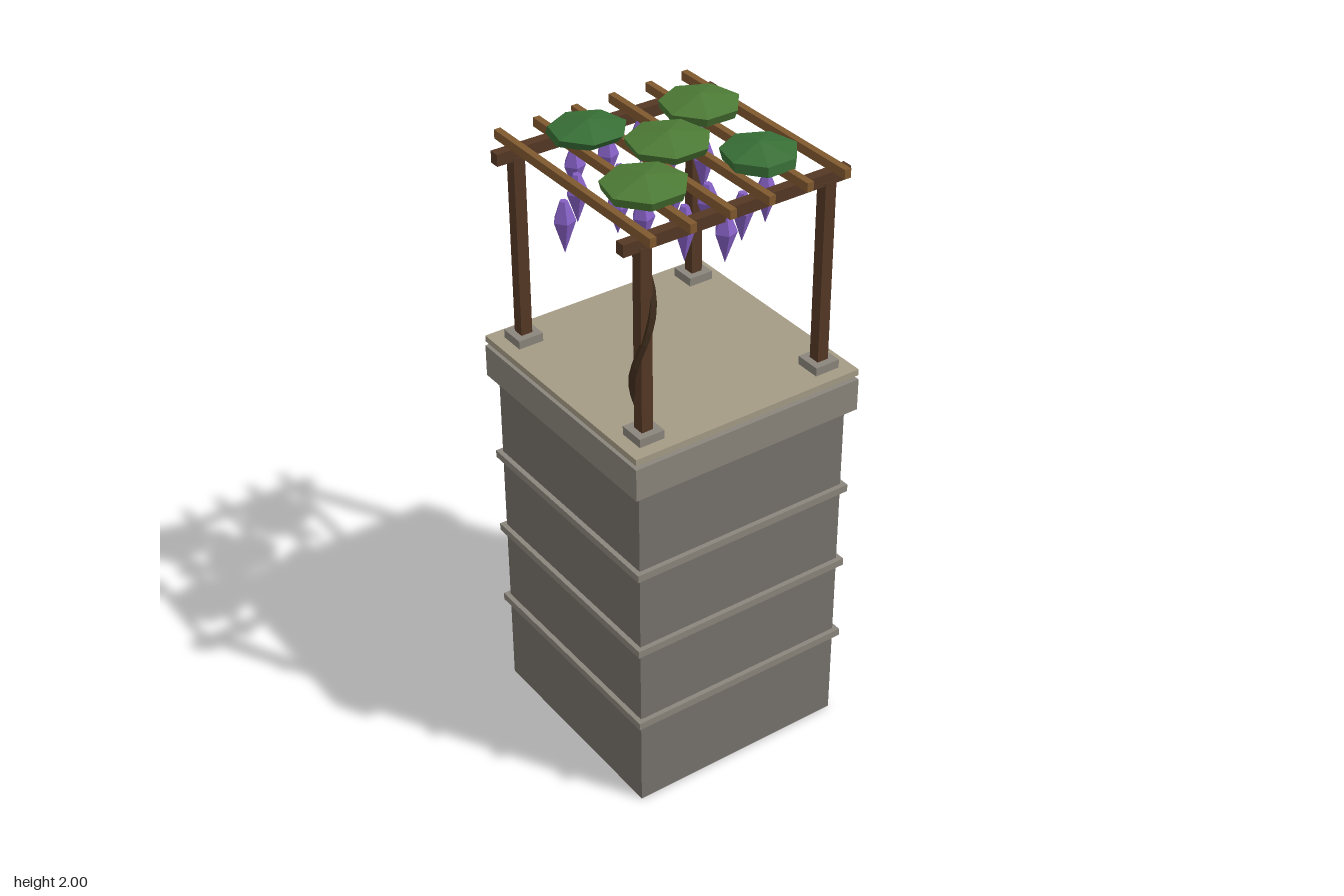
import * as THREE from 'three';

const mat = (color) => new THREE.MeshStandardMaterial({ color, flatShading: true });
const M = {
  wall: mat(0x76716a), trim: mat(0x8a857c), floor: mat(0xa59b86),
  post: mat(0x543824), rafter: mat(0x80592f), vine: mat(0x3f2c1c),
  leafLight: mat(0x4c7a35), leafDark: mat(0x386f36), flower: mat(0x8560c4),
};

export function createModel() {
  const model = new THREE.Group();
  const add = (name, geometry, material, x = 0, y = 0, z = 0, parent = model) => {
    const mesh = new THREE.Mesh(geometry, material);
    mesh.name = name;
    mesh.position.set(x, y, z);
    parent.add(mesh);
    return mesh;
  };
  // Box given by its bottom and top heights
  const box = (name, material, w, d, y0, y1, x = 0, z = 0) =>
    add(name, new THREE.BoxGeometry(w, y1 - y0, d), material, x, (y0 + y1) / 2, z);

  // Tower with ledges, cornice and a slightly raised roof terrace
  box('towerBody', M.wall, 0.726, 0.726, 0, 1.16);
  for (const y of [0.31, 0.588, 0.866]) box('ledge', M.trim, 0.757, 0.757, y - 0.012, y + 0.012);
  box('cornice', M.trim, 0.778, 0.778, 1.15, 1.254);
  box('terraceFloor', M.floor, 0.776, 0.776, 1.268, 1.288);

  // Pergola posts on stone feet
  for (const x of [-0.306, 0.306]) {
    for (const z of [-0.306, 0.306]) {
      box('postFoot', M.trim, 0.082, 0.082, 1.288, 1.315, x, z);
      box('post', M.post, 0.037, 0.037, 1.31, 1.89, x, z);
    }
  }
  // Cross beams and rafters
  for (const z of [-0.306, 0.306]) box('beam', M.post, 0.752, 0.032, 1.881, 1.918, 0, z);
  for (let i = 0; i < 6; i++) box('rafter', M.rafter, 0.021, 0.752, 1.919, 1.947, -0.32 + i * 0.128);

  // Vine stem winding up the front right post
  const stem = [];
  for (let i = 0; i <= 12; i++) {
    const y = 1.3 + i * 0.05;
    const a = Math.PI * 4 * (y - 1.5);
    stem.push(new THREE.Vector3(-0.307 - 0.025 * Math.cos(a), y, 0.306 + 0.025 * Math.sin(a - 0.3)));
  }
  add('vineStem', new THREE.TubeGeometry(new THREE.CatmullRomCurve3(stem), 16, 0.012, 5), M.vine);

  // Seven-sided leaf clumps; the lower ring is shifted for an irregular look
  const clumps = [
    [-0.14, -0.19, 0.113, 0, -0.024, M.leafDark],
    [0.205, -0.14, 0.119, 0.003, -0.008, M.leafLight],
    [0, -0.006, 0.123, 0.008, -0.014, M.leafLight],
    [-0.196, 0.162, 0.123, 0.004, -0.008, M.leafLight],
    [0.165, 0.187, 0.111, -0.002, 0.008, M.leafDark],
  ];
  for (const [x, z, r, dx, dz, material] of clumps) {
    const profile = [[0, -0.03], [r * 0.94, -0.022], [r, 0.008], [0, 0.033]];
    const geo = new THREE.LatheGeometry(profile.map(([a, b]) => new THREE.Vector2(a, b)), 7);
    geo.rotateY(Math.PI);
    const p = geo.attributes.position;
    for (let i = 0; i < p.count; i++) {
      if (p.getY(i) < 0) p.setXYZ(i, p.getX(i) + dx, p.getY(i), p.getZ(i) + dz);
    }
    add('leafClump', geo, material, x, 1.967, z);
  }

  // Hanging blossom clusters: x, z, top height, length
  const blossoms = [
    [0.09, -0.27, 1.9, 0.14], [-0.24, -0.1, 1.9, 0.15], [-0.337, -0.017, 1.885, 0.16],
    [-0.195, 0.03, 1.9, 0.14], [0.013, 0.157, 1.905, 0.14], [0.286, 0.06, 1.9, 0.14],
    [-0.04, 0.31, 1.9, 0.15], [-0.105, 0.215, 1.9, 0.17], [-0.055, -0.225, 1.91, 0.15],
    [0.105, -0.145, 1.9, 0.14], [-0.105, -0.09, 1.89, 0.165], [0.18, -0.09, 1.89, 0.17],
    [0.18, 0.2, 1.9, 0.15], [0.065, 0.245, 1.9, 0.15], [-0.17, 0.115, 1.9, 0.15],
    [-0.045, 0.07, 1.91, 0.16], [0.24, -0.2, 1.9, 0.14], [-0.16, -0.235, 1.9, 0.14],
  ];
  for (const [x, z, top, len] of blossoms) {
    const profile = [[0, -len], [0.033, -len * 0.37], [0.012, 0], [0, 0]];
    const geo = new THREE.LatheGeometry(profile.map(([a, b]) => new THREE.Vector2(a, b)), 5);
    add('blossomCluster', geo.rotateY(Math.PI / 2 + Math.PI), M.flower, x, top, z);
  }
  return model;
}
